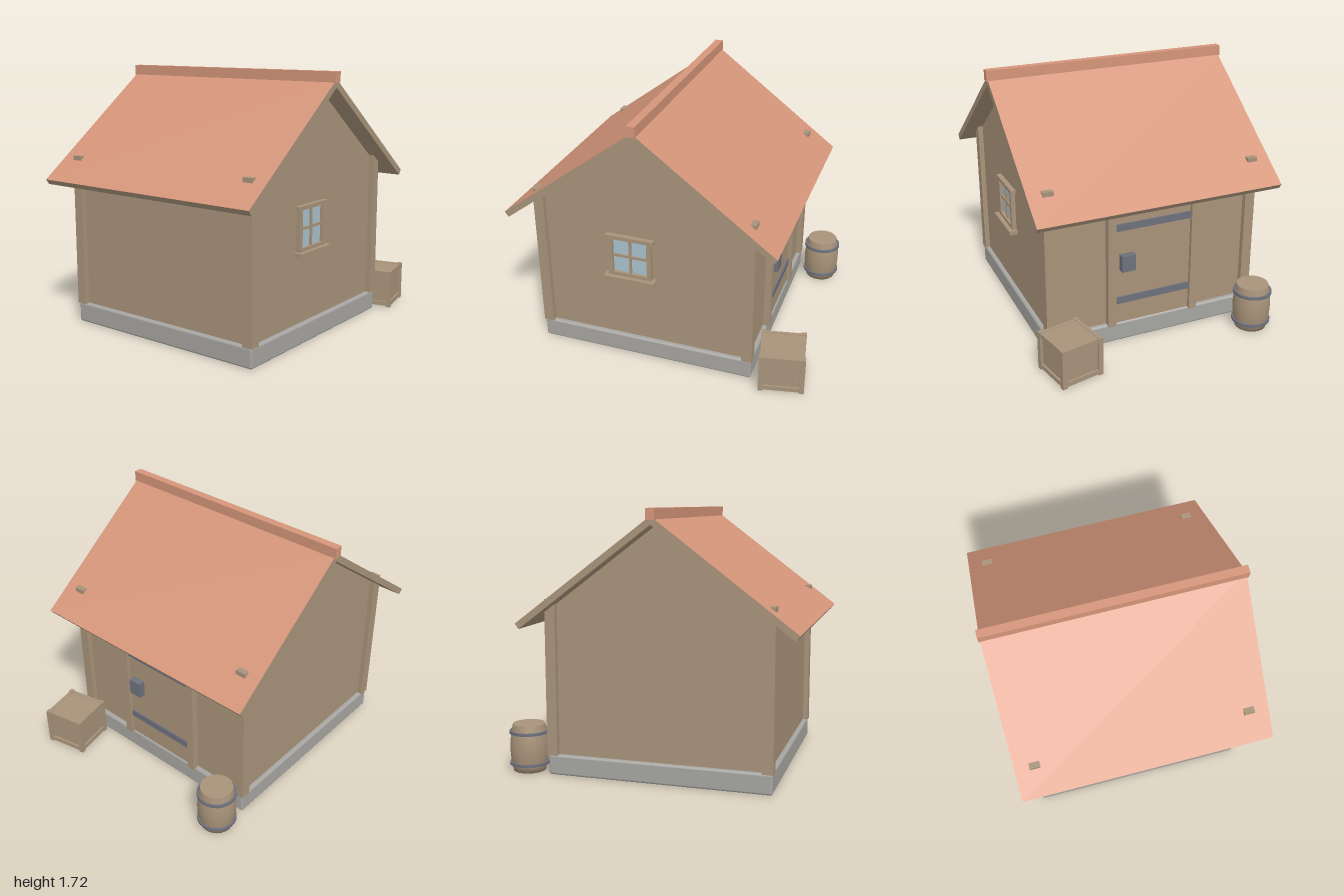
import * as THREE from 'three';
import { RoundedBoxGeometry } from 'three/addons/geometries/RoundedBoxGeometry.js';

const mat = (color) => new THREE.MeshStandardMaterial({ color });

export function createModel() {
  const model = new THREE.Group();
  const wood = mat(0xa8937a), tile = mat(0xd4957a), stone = mat(0xa6a5a1);
  const metal = mat(0x6e717c), glass = mat(0xa9c2cc);

  const add = (parent, name, geometry, material, x = 0, y = 0, z = 0) => {
    const mesh = new THREE.Mesh(geometry, material);
    mesh.name = name;
    mesh.position.set(x, y, z);
    parent.add(mesh);
    return mesh;
  };
  // Box given by its extents on each axis
  const box = (parent, name, [x0, x1], [y0, y1], [z0, z1], material = wood) =>
    add(parent, name, new THREE.BoxGeometry(x1 - x0, y1 - y0, z1 - z0), material,
      (x0 + x1) / 2, (y0 + y1) / 2, (z0 + z1) / 2);
  const group = (name, x = 0, y = 0, z = 0) => {
    const g = new THREE.Group();
    g.name = name;
    g.position.set(x, y, z);
    model.add(g);
    return g;
  };

  // House, centred on its own ridge line
  const house = group('house', 0, 0, 0.1);
  const W = 0.705;
  add(house, 'foundation', new RoundedBoxGeometry(1.47, 0.134, 1.47, 2, 0.015), stone, 0, 0.067, 0);
  box(house, 'walls', [-W, W], [0.13, 1.143], [-W, W]);
  for (const x of [-W, W]) for (const z of [-W, W])
    box(house, 'cornerPost', [x - 0.035, x + 0.035], [0.13, 1.147], [z - 0.035, z + 0.035]);

  // Gable prism filling the space under the roof
  const triangle = new THREE.Shape([[-0.64, 1.143], [0.64, 1.143], [0, 1.623]]
    .map(([x, y]) => new THREE.Vector2(x, y)));
  const gable = new THREE.ExtrudeGeometry(triangle, { depth: 2 * W, bevelEnabled: false });
  gable.translate(0, 0, -W).rotateY(Math.PI / 2);
  add(house, 'gable', gable, wood);

  // Two roof slopes: wooden slabs with a tiled top face
  const pitch = Math.atan(0.75), slopeLength = 1.125, thick = 0.042;
  for (const side of [1, -1]) {
    const slab = new THREE.BoxGeometry(1.67, thick, slopeLength);
    slab.translate(0, -thick / 2, side * slopeLength / 2).rotateX(side * pitch);
    add(house, 'roofSlope', slab, [wood, wood, tile, wood, wood, wood], 0, 1.673, 0);
  }
  box(house, 'ridgeCap', [-0.845, 0.845], [1.65, 1.72], [-0.027, 0.027], tile);

  // Window in the +x wall
  const win = group('window', W, 0, 0.187);
  box(win, 'glass', [-0.01, 0.008], [0.62, 0.88], [-0.125, 0.125], glass);
  for (const s of [-1, 1]) {
    const z = s * 0.132;
    box(win, 'windowJamb', [-0.01, 0.03], [0.605, 0.88], [z - 0.015, z + 0.015]);
  }
  box(win, 'windowHeader', [-0.01, 0.034], [0.875, 0.9], [-0.163, 0.163]);
  box(win, 'windowRail', [-0.01, 0.03], [0.605, 0.63], [-0.12, 0.12]);
  box(win, 'windowSill', [-0.01, 0.06], [0.58, 0.608], [-0.174, 0.174]);
  box(win, 'verticalMullion', [-0.01, 0.02], [0.62, 0.88], [-0.008, 0.008]);
  box(win, 'crossMullion', [-0.01, 0.02], [0.743, 0.76], [-0.12, 0.12]);

  // Door in the back wall
  const door = group('door', 0, 0, 0.1 - W);
  box(door, 'doorPanel', [-0.272, 0.272], [0.13, 0.98], [-0.02, 0.01]);
  for (const x of [-0.295, 0.295])
    box(door, 'doorJamb', [x - 0.027, x + 0.027], [0.125, 1.02], [-0.045, 0.01]);
  box(door, 'doorLintel', [-0.27, 0.27], [0.97, 1.02], [-0.045, 0.01]);
  for (const y of [0.3, 0.82])
    box(door, 'hingeStrap', [-0.268, 0.268], [y - 0.024, y + 0.024], [-0.03, 0], metal);
  box(door, 'lock', [0.14, 0.235], [0.52, 0.632], [-0.065, 0], metal);

  // Crate, turned a little, with corner posts and rails round each side
  const crate = group('crate', 0.657, 0, -0.825);
  crate.rotation.y = 0.2;
  box(crate, 'crateBody', [-0.128, 0.128], [0.01, 0.258], [-0.128, 0.128]);
  for (const x of [-1, 1]) for (const z of [-1, 1])
    add(crate, 'cratePost', new THREE.BoxGeometry(0.032, 0.265, 0.032), wood, x * 0.131, 0.1325, z * 0.131);
  for (const y of [0.022, 0.246])
    for (const s of [-1, 1]) {
      add(crate, 'crateRail', new THREE.BoxGeometry(0.235, 0.03, 0.022), wood, 0, y, s * 0.131);
      add(crate, 'crateRail', new THREE.BoxGeometry(0.022, 0.03, 0.235), wood, s * 0.131, y, 0);
    }

  // Barrel with bulging staves and two hoops
  const barrel = group('barrel', -0.662, 0, -0.805);
  const profile = [new THREE.Vector2(0, 0)];
  for (let i = 0; i <= 8; i++) {
    const t = i / 8;
    profile.push(new THREE.Vector2(0.106 + 0.02 * Math.sin(Math.PI * t), t * 0.313));
  }
  add(barrel, 'staves', new THREE.LatheGeometry(profile, 24), wood);
  add(barrel, 'barrelLid', new THREE.CircleGeometry(0.106, 24).rotateX(-Math.PI / 2), wood, 0, 0.313, 0);
  for (const y of [0.052, 0.261])
    add(barrel, 'hoop', new THREE.CylinderGeometry(0.129, 0.129, 0.018, 24), metal, 0, y, 0);

  return model;
}
